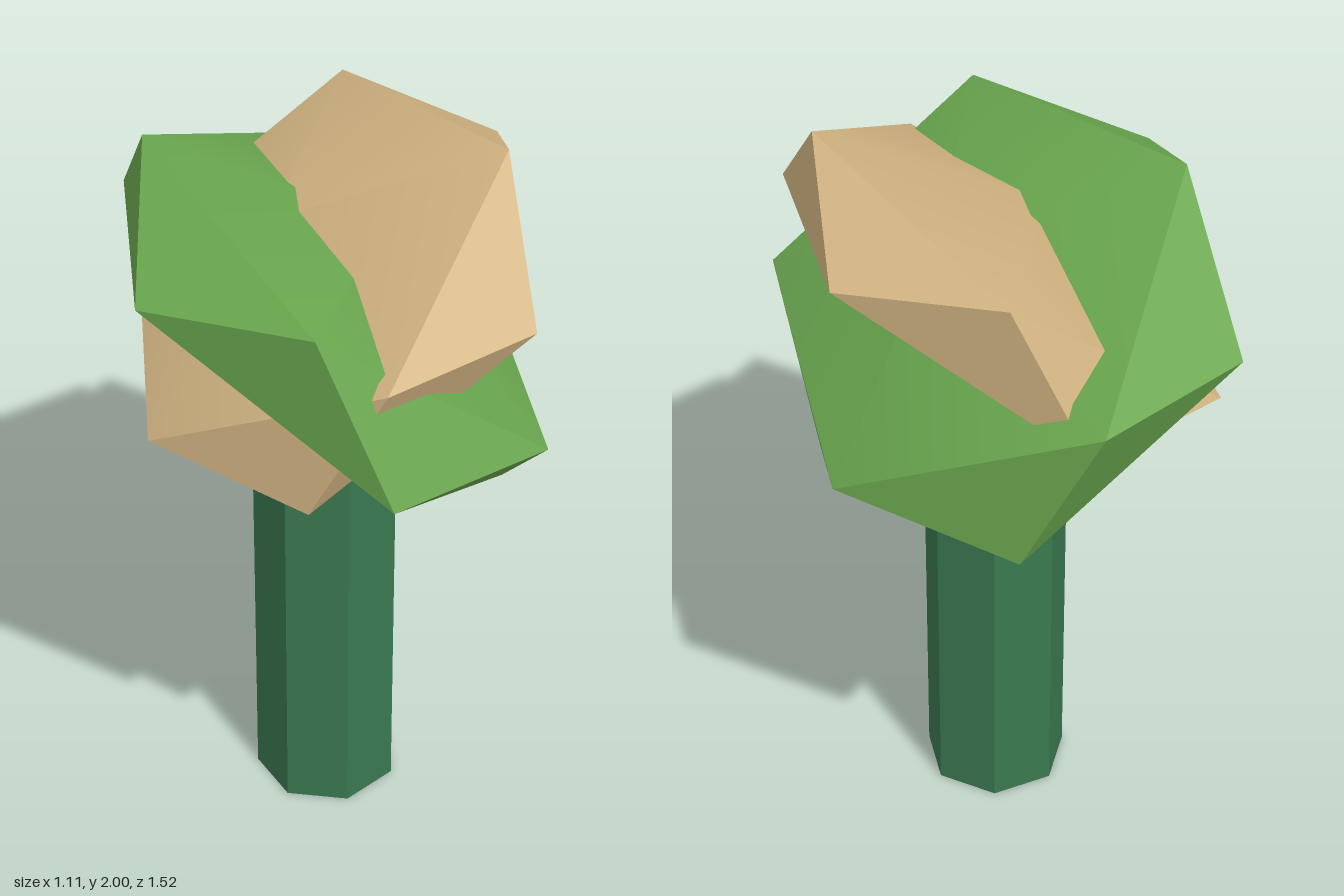
import * as THREE from 'three';
import { toCreasedNormals } from 'three/addons/utils/BufferGeometryUtils.js';

const material = (name, color) => {
  const m = new THREE.MeshStandardMaterial({ color });
  m.name = name;
  return m;
};

// Flattened icosahedron with a vertex on its short axis, tilted sideways
function foliagePad(name, mat, [rx, ry, rz], turn, tilt, y) {
  let g = new THREE.IcosahedronGeometry(1, 0);
  g.rotateX(-Math.atan((1 + Math.sqrt(5)) / 2)); // bring a vertex to the top
  g.rotateY(turn);
  g.scale(rx, ry, rz);
  g = toCreasedNormals(g, Math.PI / 6); // broad faces soft, rim sharp
  const mesh = new THREE.Mesh(g, mat);
  mesh.name = name;
  mesh.rotation.z = tilt;
  mesh.position.y = y;
  return mesh;
}

export function createModel() {
  const group = new THREE.Group();
  group.name = 'plant';

  const stemGreen = material('stem green', 0x3a7850);
  stemGreen.flatShading = true;
  const leafGreen = material('leaf green', 0x6aa84f);
  const tan = material('tan', 0xd2b482);

  // Seven-sided stem, its top buried in the pads
  const height = 1.5;
  const stem = new THREE.Mesh(new THREE.CylinderGeometry(0.195, 0.195, height, 7), stemGreen);
  stem.name = 'stem';
  stem.position.y = height / 2;
  group.add(stem);

  // Two crossed pads
  group.add(foliagePad('greenPad', leafGreen, [0.693, 0.285, 0.85], Math.PI, -0.62, 1.495));
  group.add(foliagePad('tanPad', tan, [0.67, 0.256, 0.76], 0, 0.62, 1.573));

  return group;
}
